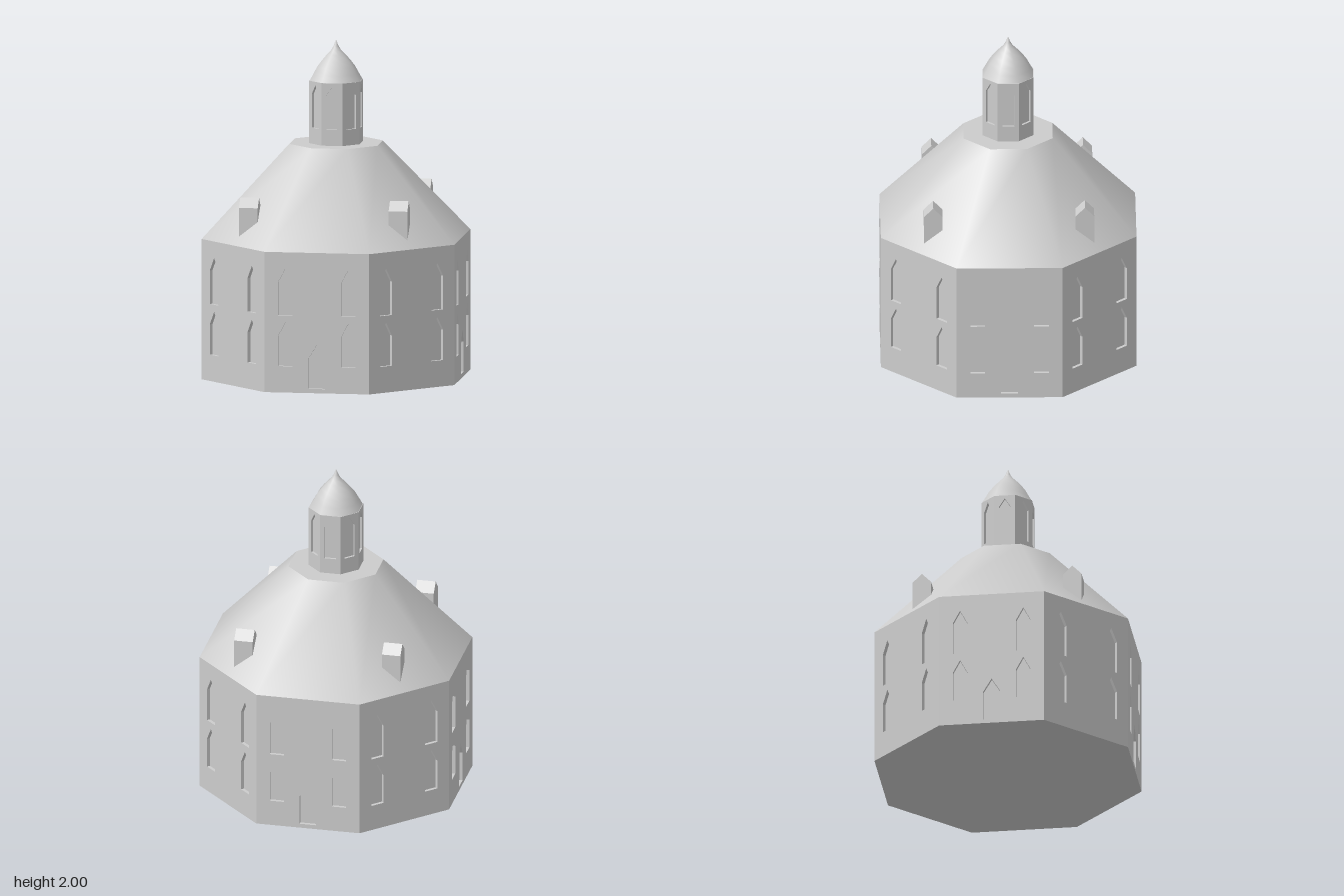
import * as THREE from 'three';

const SIDES = 8;
const STEP = Math.PI / 4;
const TURN = Math.PI / 8; // puts a flat side towards +z
const corner = (apothem) => apothem / Math.cos(TURN);

const stone = new THREE.MeshStandardMaterial({ color: 0xcccccc });
stone.name = 'pale grey stone';

function addMesh(parent, geometry, name) {
  const mesh = new THREE.Mesh(geometry, stone);
  mesh.name = name;
  parent.add(mesh);
  return mesh;
}

// Octagonal prism or frustum standing on y0
function octagon(bottom, top, y0, y1) {
  return new THREE.CylinderGeometry(corner(top), corner(bottom), y1 - y0, SIDES, 1, false, TURN)
    .translate(0, (y0 + y1) / 2, 0);
}

// Pointed opening: centre x, half width, sill, shoulder and peak heights
function opening([x, w, sill, shoulder, peak]) {
  return new THREE.Path([
    new THREE.Vector2(x - w, sill),
    new THREE.Vector2(x + w, sill),
    new THREE.Vector2(x + w, shoulder),
    new THREE.Vector2(x, peak),
    new THREE.Vector2(x - w, shoulder),
  ]);
}

// Eight pierced wall slabs around a recessed core that closes the niches
function walls(name, apothem, y0, y1, depth, openingsFor) {
  const group = new THREE.Group();
  group.name = name;
  const half = apothem * Math.tan(TURN);
  for (let i = 0; i < SIDES; i++) {
    const shape = new THREE.Shape([
      new THREE.Vector2(-half, y0), new THREE.Vector2(half, y0),
      new THREE.Vector2(half, y1), new THREE.Vector2(-half, y1),
    ]);
    shape.holes = openingsFor(i).map(opening);
    const slab = new THREE.ExtrudeGeometry(shape, { depth, bevelEnabled: false })
      .translate(0, 0, apothem - depth)
      .rotateY(i * STEP);
    addMesh(group, slab, name + 'Side');
  }
  const core = octagon(apothem - depth, apothem - depth, y0, y1).toNonIndexed();
  core.computeVertexNormals();
  addMesh(group, core, name + 'RecessedPanels');
  return group;
}

export function createModel() {
  const model = new THREE.Group();
  model.name = 'octagonalChurch';

  // Main walls: two rows of windows, doors on the four axis-facing sides
  const windows = [-0.188, 0.188].flatMap((x) => [
    [x, 0.043, 0.157, 0.338, 0.418],
    [x, 0.043, 0.46, 0.66, 0.74],
  ]);
  const door = [0, 0.05, 0.025, 0.205, 0.288];
  model.add(walls('mainWall', 0.755, 0, 0.838, 0.02,
    (i) => (i % 2 ? windows : [...windows, door])));

  // Sloping roof with a flat deck, softly shaded around
  addMesh(model, octagon(0.755, 0.263, 0.838, 1.387), 'roof');

  // Lantern with one window per side
  model.add(walls('lanternWall', 0.151, 1.387, 1.76, 0.014,
    () => [[0, 0.035, 1.482, 1.685, 1.74]]));

  // Lantern dome with a drawn-out tip
  const profile = [
    [0.151, 1.755], [0.127, 1.8], [0.107, 1.84], [0.082, 1.875],
    [0.052, 1.912], [0.028, 1.938], [0.014, 1.962], [0, 2],
  ].map(([r, y]) => new THREE.Vector2(corner(r), y));
  addMesh(model, new THREE.LatheGeometry(profile, SIDES, TURN), 'lanternDome');

  // Gabled dormers on the diagonal roof slopes, ridges running along x
  const gable = new THREE.Shape([
    new THREE.Vector2(-0.055, 0.88), new THREE.Vector2(0.055, 0.88),
    new THREE.Vector2(0.055, 1.058), new THREE.Vector2(0, 1.113),
    new THREE.Vector2(-0.055, 1.058),
  ]);
  const dormer = new THREE.ExtrudeGeometry(gable, { depth: 0.112, bevelEnabled: false })
    .translate(0, 0, -0.056)
    .rotateY(Math.PI / 2);
  for (const x of [-0.447, 0.447]) {
    for (const z of [-0.448, 0.448]) {
      addMesh(model, dormer, 'dormer').position.set(x, 0, z);
    }
  }

  return model;
}
